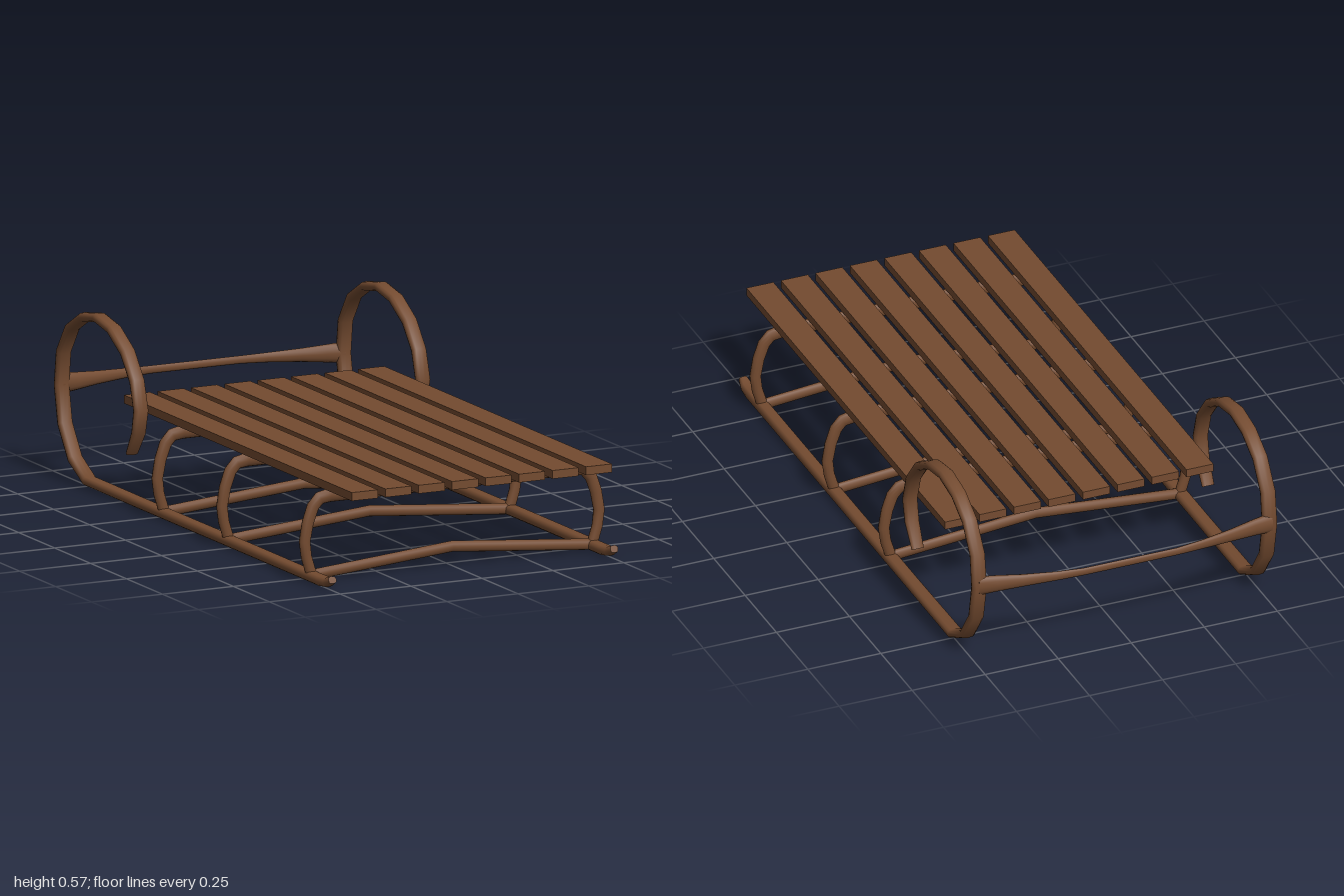
import * as THREE from 'three';

const wood = new THREE.MeshStandardMaterial({ color: 0x744b30 });
wood.name = 'brown wood';

// Sweeps an oval section along a flat path. Each station is [point, a, b]:
// a = half size along the fixed side axis, b = half size within the path's plane.
function sweep(stations, side, power = 1, n = 12) {
  const pos = [], idx = [], last = stations.length - 1;
  const rings = stations.map(([p, a, b], i) => {
    const t = stations[Math.min(i + 1, last)][0].clone().sub(stations[Math.max(i - 1, 0)][0]).normalize();
    const normal = t.cross(side);
    const soft = (v) => Math.sign(v) * Math.pow(Math.abs(v), power);
    return Array.from({ length: n }, (_, j) => {
      const k = (j / n) * Math.PI * 2;
      return p.clone().addScaledVector(side, a * soft(Math.cos(k))).addScaledVector(normal, b * soft(Math.sin(k)));
    });
  });
  rings.forEach((ring, i) => ring.forEach((v, j) => {
    pos.push(v.x, v.y, v.z);
    if (i === last) return;
    const q = i * n + j, r = i * n + (j + 1) % n;
    idx.push(q, r, r + n, q, r + n, q + n);
  }));
  // End caps with their own vertices
  for (const i of [0, last]) {
    const base = pos.length / 3;
    rings[i].forEach((v) => pos.push(v.x, v.y, v.z));
    for (let j = 1; j < n - 1; j++) {
      idx.push(base, ...(i === 0 ? [base + j + 1, base + j] : [base + j, base + j + 1]));
    }
  }
  const g = new THREE.BufferGeometry();
  g.setAttribute('position', new THREE.Float32BufferAttribute(pos, 3));
  g.setIndex(idx);
  g.computeVertexNormals();
  return g;
}

const X = new THREE.Vector3(1, 0, 0), Y = new THREE.Vector3(0, 1, 0), Z = new THREE.Vector3(0, 0, 1);
const V = (x, y, z) => new THREE.Vector3(x, y, z);

export function createModel() {
  const sled = new THREE.Group();
  sled.name = 'sled';
  const add = (geometry, name) => {
    const mesh = new THREE.Mesh(geometry, wood);
    mesh.name = name;
    sled.add(mesh);
    return mesh;
  };

  // Seat slats
  for (let i = 0; i < 8; i++) {
    add(new THREE.BoxGeometry(0.092, 0.027, 1.585), 'seatSlat').position.set((i - 3.5) * 0.118, 0.31, 0.2075);
  }

  // Runners, each curling up and over at the back: [z, y, half width, half thickness]
  const runner = [
    [0.94, 0.034, 0.014, 0.012], [0.91, 0.021, 0.02, 0.015], [0.87, 0.018, 0.022, 0.017],
    [0.3, 0.018, 0.022, 0.017], [-0.36, 0.017, 0.023, 0.016], [-0.75, 0.018, 0.025, 0.015],
    [-0.85, 0.07, 0.025, 0.015], [-0.92, 0.17, 0.025, 0.015], [-0.944, 0.29, 0.025, 0.016],
    [-0.93, 0.40, 0.025, 0.015], [-0.868, 0.49, 0.025, 0.015], [-0.78, 0.54, 0.025, 0.015],
    [-0.68, 0.558, 0.025, 0.015], [-0.58, 0.54, 0.025, 0.015], [-0.485, 0.485, 0.025, 0.015],
    [-0.42, 0.405, 0.025, 0.014], [-0.392, 0.315, 0.025, 0.014], [-0.408, 0.24, 0.024, 0.013],
    [-0.455, 0.165, 0.021, 0.008],
  ];
  for (const s of [-1, 1]) {
    add(sweep(runner.map(([z, y, a, b]) => [V(s * 0.497, y, z), a, b]), X, 0.75), s > 0 ? 'leftRunner' : 'rightRunner');
  }

  // Bent arches carrying the seat, with raised lower braces: half an arch is mirrored
  const half = [
    [0.496, 0.025, 0.018], [0.513, 0.08, 0.018], [0.519, 0.13, 0.019], [0.508, 0.19, 0.02],
    [0.49, 0.24, 0.021], [0.467, 0.265, 0.022], [0.43, 0.272, 0.023],
  ];
  const arch = [...half, ...half.map(([x, y, b]) => [-x, y, b]).reverse()];
  const brace = [[-0.495, 0.02], [0, 0.063], [0.495, 0.02]];
  for (const z of [0.79, 0.215, -0.235]) {
    add(sweep(arch.map(([x, y, b]) => [V(x, y, z), 0.015, b]), Z), 'arch');
    add(sweep(brace.map(([x, y]) => [V(x, y, z), 0.014, 0.018]), Z), 'lowerBrace');
  }

  // Rear handle, bowed back and thinning to the middle: [x, z, half height, half depth]
  const grip = [
    [0.5, -0.944, 0.034, 0.017], [0.44, -0.952, 0.029, 0.016], [0.36, -0.967, 0.022, 0.013],
    [0.25, -0.984, 0.016, 0.009], [0.16, -0.993, 0.013, 0.007],
  ];
  const handle = [...grip, ...grip.map(([x, ...r]) => [-x, ...r]).reverse()];
  add(sweep(handle.map(([x, z, a, b]) => [V(x, 0.294, z), a, b]), Y), 'rearHandle');

  return sled;
}
